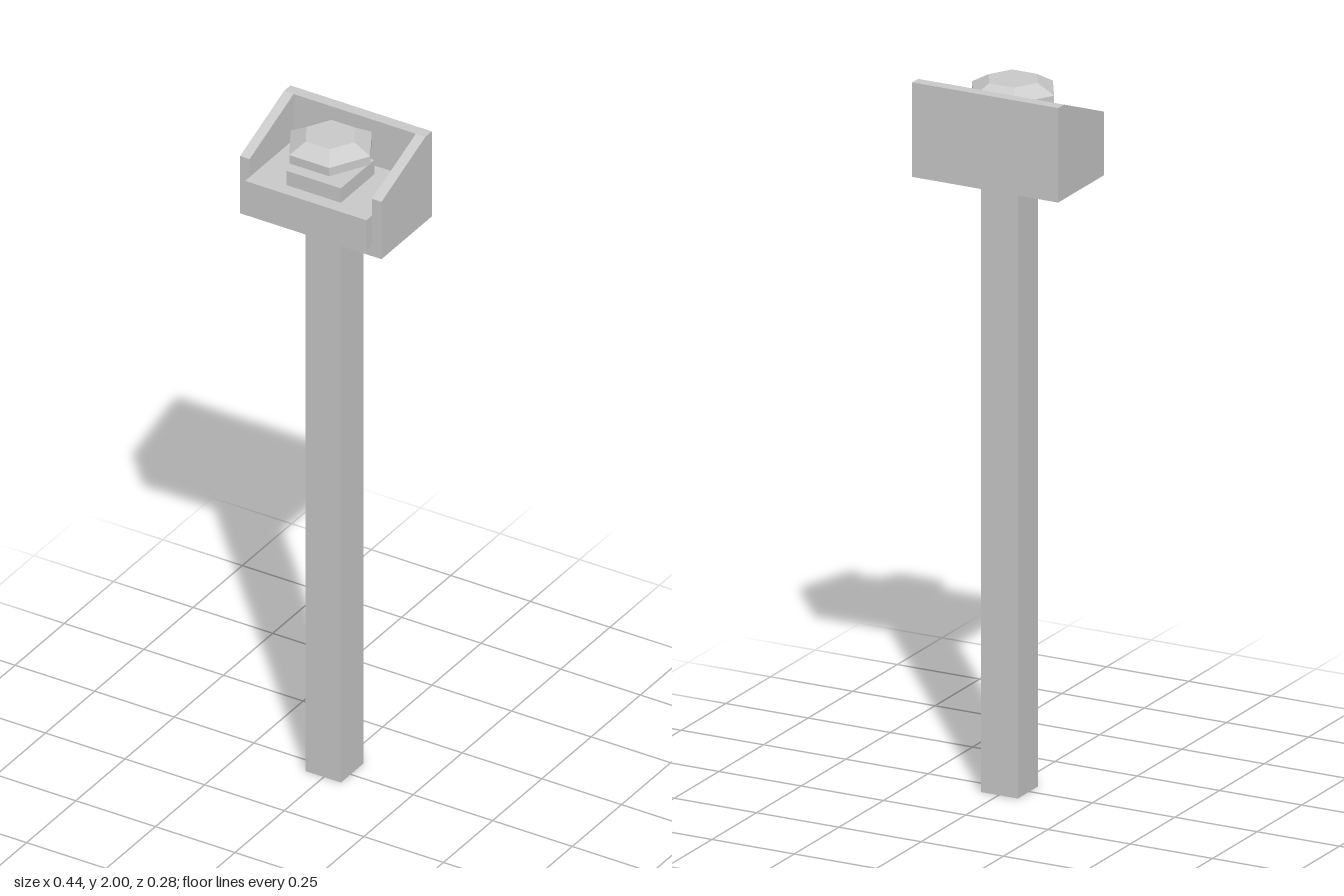
import * as THREE from 'three';

const material = new THREE.MeshStandardMaterial({ color: 0xcccccc, flatShading: true });

export function createModel() {
  const model = new THREE.Group();

  const add = (name, geometry, parent = model) => {
    const mesh = new THREE.Mesh(geometry, material);
    mesh.name = name;
    parent.add(mesh);
    return mesh;
  };

  // Box given by its extents on each axis
  const box = (name, [x0, x1], [y0, y1], [z0, z1], parent) => {
    const mesh = add(name, new THREE.BoxGeometry(x1 - x0, y1 - y0, z1 - z0), parent);
    mesh.position.set((x0 + x1) / 2, (y0 + y1) / 2, (z0 + z1) / 2);
    return mesh;
  };

  // Square post
  box('post', [-0.058, 0.054], [0, 1.733], [-0.065, 0.049]);

  // Open housing: floor, back wall and two sloping cheeks
  const housing = new THREE.Group();
  housing.name = 'housing';
  model.add(housing);
  const half = 0.222, inner = 0.192, bottom = 1.733, back = -0.141, front = 0.115, backInner = -0.108;
  box('housingFloor', [-inner, inner], [bottom, 1.763], [backInner, front], housing);
  box('backWall', [-inner, inner], [bottom, 2], [back, backInner], housing);

  const cheek = new THREE.Shape([
    [back, bottom], [front, bottom], [front, 1.913], [backInner, 2], [back, 2],
  ].map(([z, y]) => new THREE.Vector2(z, y)));
  for (const [name, outerX] of [['leftCheek', half], ['rightCheek', -inner]]) {
    const geometry = new THREE.ExtrudeGeometry(cheek, { depth: half - inner, bevelEnabled: false });
    geometry.rotateY(-Math.PI / 2);
    add(name, geometry, housing).position.x = outerX;
  }

  // Control block projecting from the front of the housing
  box('controlBlock', [-0.191, 0.19], [1.763, 1.858], [backInner, 0.14]);

  // Button: square plate, stem and bevelled six-sided head
  const button = new THREE.Group();
  button.name = 'button';
  button.position.z = 0.015;
  model.add(button);
  box('buttonPlate', [-0.085, 0.085], [1.858, 1.903], [-0.085, 0.085], button);
  box('buttonStem', [-0.029, 0.029], [1.903, 1.946], [-0.029, 0.029], button);
  const headProfile = [[0, 1.946], [0.125, 1.946], [0.125, 1.972], [0.075, 2], [0, 2]]
    .map(([r, y]) => new THREE.Vector2(r, y));
  add('buttonHead', new THREE.LatheGeometry(headProfile, 6, Math.PI / 6), button);

  return model;
}
